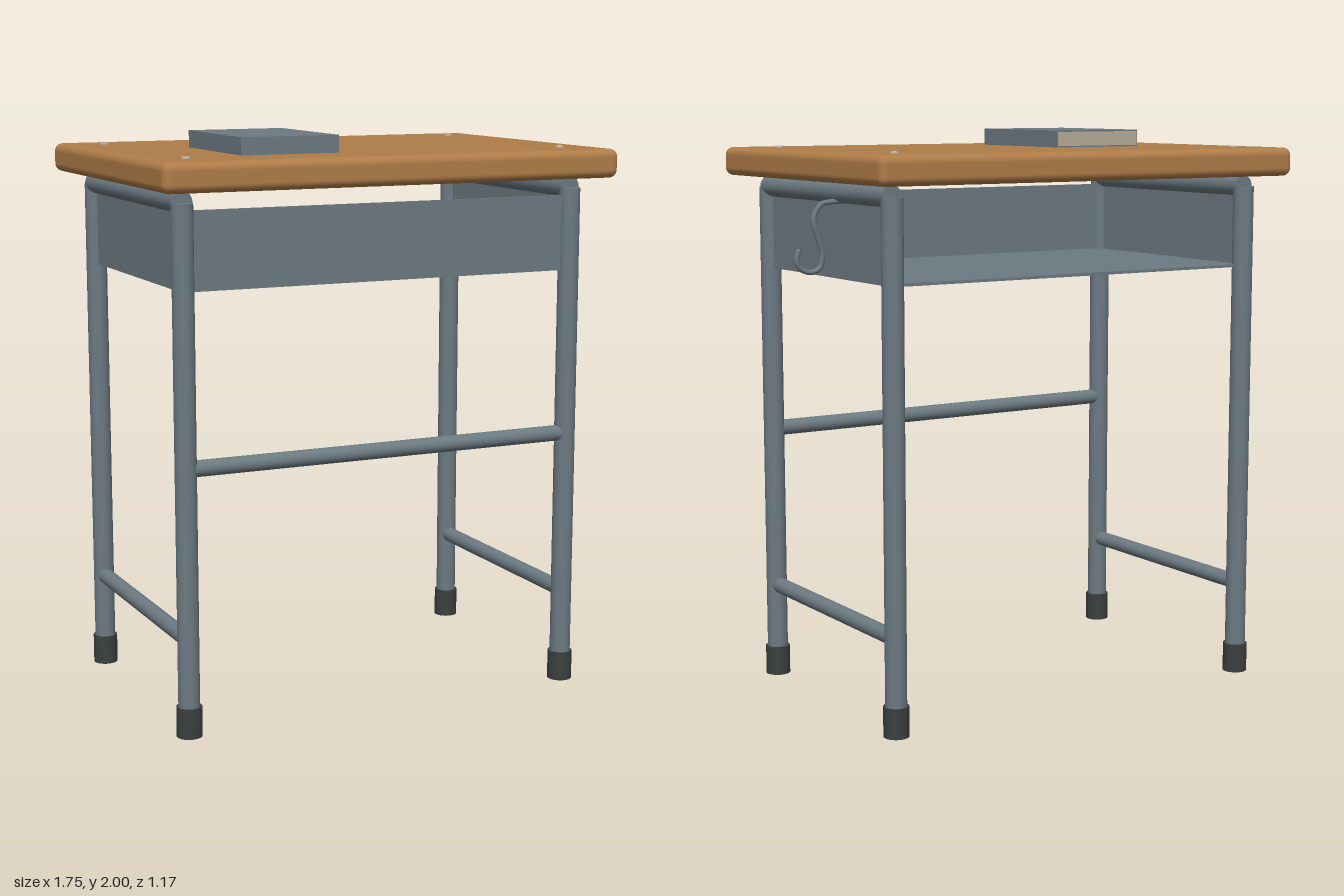
import * as THREE from 'three';
import { RoundedBoxGeometry } from 'three/addons/geometries/RoundedBoxGeometry.js';

export function createModel() {
  const model = new THREE.Group();
  model.name = 'schoolDesk';

  const makeMaterial = (name, color) => {
    const m = new THREE.MeshStandardMaterial({ color });
    m.name = name;
    return m;
  };
  const wood = makeMaterial('wood', 0xb07d48);
  const steel = makeMaterial('paintedSteel', 0x6c7a82);
  const rubber = makeMaterial('darkRubber', 0x3b403e);
  const bolt = makeMaterial('boltMetal', 0xc8c4b8);
  const paper = makeMaterial('paper', 0xb9ae9a);

  const add = (name, geometry, material, x, y, z) => {
    const mesh = new THREE.Mesh(geometry, material);
    mesh.name = name;
    mesh.position.set(x, y, z);
    model.add(mesh);
    return mesh;
  };
  const box = (name, w, h, d, material, x, y, z) =>
    add(name, new THREE.BoxGeometry(w, h, d), material, x, y, z);
  const rod = (name, r, length, material, x, y, z, axis = 'y') => {
    const g = new THREE.CylinderGeometry(r, r, length, 24);
    if (axis === 'x') g.rotateZ(Math.PI / 2);
    if (axis === 'z') g.rotateX(Math.PI / 2);
    return add(name, g, material, x, y, z);
  };

  const cx = -0.037, halfX = 0.727, halfZ = 0.445;

  // Tabletop with rounded edges
  add('tabletop', new RoundedBoxGeometry(1.68, 0.1, 1.17, 4, 0.028), wood, -0.035, 1.89, 0);

  for (const sx of [-1, 1]) {
    const x = cx + sx * halfX;
    for (const sz of [-1, 1]) {
      // Legs, feet and tabletop bolts
      rod('leg', 0.037, 1.75, steel, x, 0.925, sz * halfZ);
      rod('foot', 0.044, 0.105, rubber, x, 0.0525, sz * halfZ);
      rod('bolt', 0.016, 0.01, bolt, -0.035 + sx * 0.7, 1.941, sz * 0.415 - 0.003);
    }
    // Side frame: top rail, low stretcher and tray side
    rod('topRail', 0.037, halfZ * 2, steel, x, 1.803, 0, 'z');
    rod('sideStretcher', 0.028, halfZ * 2, steel, x, 0.337, 0, 'z');
    box('traySide', 0.01, 0.265, halfZ * 2, steel, x, 1.643, 0);
  }

  // Front crossbar
  rod('crossbar', 0.028, halfX * 2, steel, cx, 0.922, halfZ, 'x');

  // Book tray, open at the back
  box('trayFront', halfX * 2, 0.265, 0.01, steel, cx, 1.643, halfZ);
  box('trayFloor', halfX * 2, 0.01, halfZ * 2, steel, cx, 1.515, 0);

  // Bag hook on the left side
  const hookPath = new THREE.CatmullRomCurve3([
    [0.69, 1.772], [0.735, 1.772], [0.772, 1.763], [0.799, 1.715], [0.782, 1.65],
    [0.767, 1.59], [0.782, 1.549], [0.818, 1.539], [0.853, 1.556], [0.864, 1.582], [0.857, 1.61],
  ].map(([x, y]) => new THREE.Vector3(x, y, 0)));
  add('bagHook', new THREE.TubeGeometry(hookPath, 56, 0.009, 10), steel, 0, 0, -0.105);
  const tip = hookPath.getPoint(1);
  add('bagHookTip', new THREE.SphereGeometry(0.009, 10, 8), steel, tip.x, tip.y, -0.105);

  // Book with its page edges showing at the back
  box('book', 0.355, 0.06, 0.484, steel, -0.342, 1.97, 0.113);
  box('pages', 0.345, 0.05, 0.004, paper, -0.342, 1.97, -0.13);

  return model;
}
